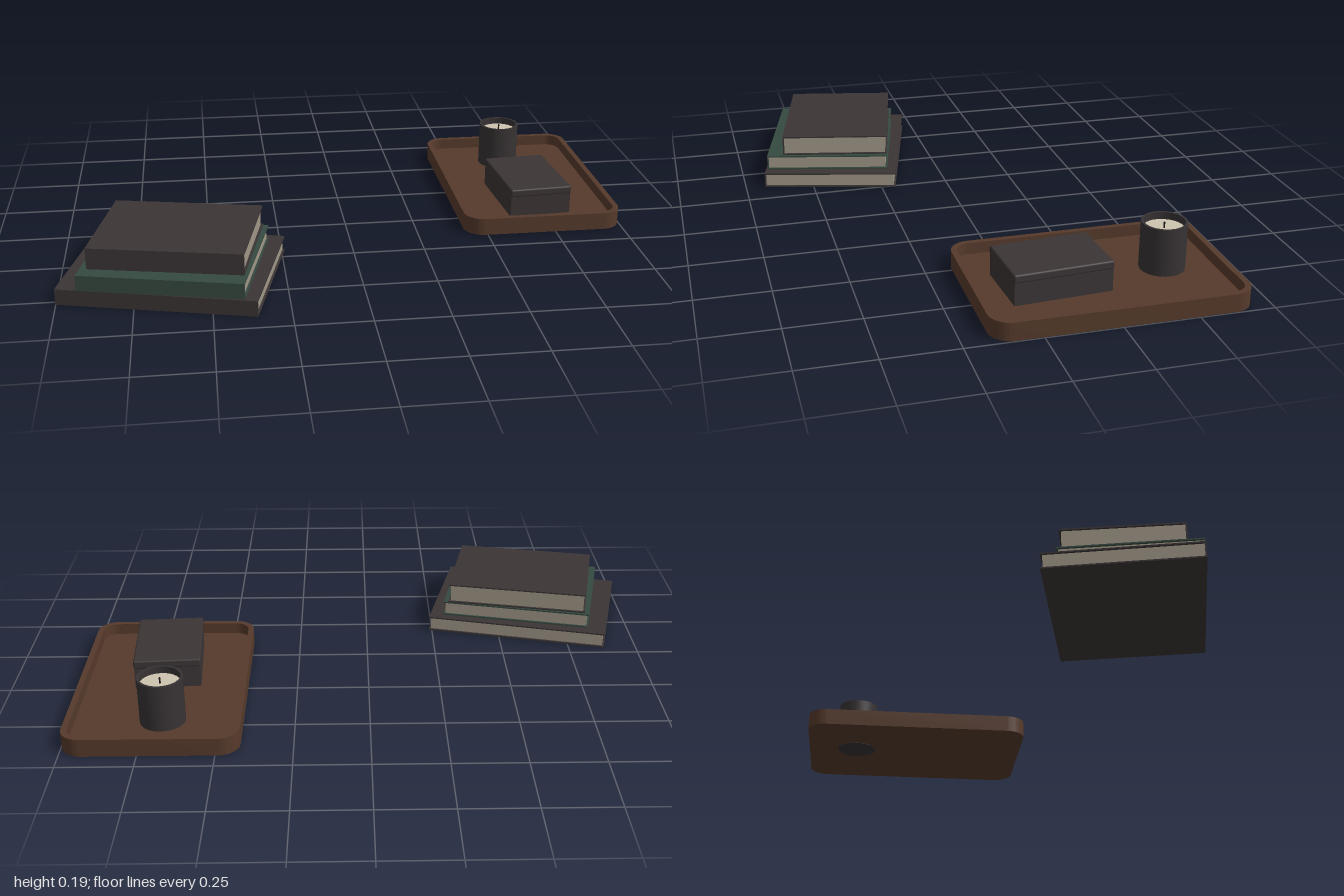
import * as THREE from 'three';
import { toCreasedNormals } from 'three/addons/utils/BufferGeometryUtils.js';
import { RoundedBoxGeometry } from 'three/addons/geometries/RoundedBoxGeometry.js';

const flat = (name, color, side = THREE.FrontSide) => {
  const m = new THREE.MeshStandardMaterial({ color, side });
  m.name = name;
  return m;
};

function addMesh(parent, name, geometry, material, x = 0, y = 0, z = 0) {
  const mesh = new THREE.Mesh(geometry, material);
  mesh.name = name;
  mesh.position.set(x, y, z);
  parent.add(mesh);
  return mesh;
}

function addGroup(parent, name, x, y, z, turn = 0) {
  const g = new THREE.Group();
  g.name = name;
  g.position.set(x, y, z);
  g.rotation.y = turn;
  parent.add(g);
  return g;
}

// Rounded rectangle centred on the origin
function roundedRect(Type, w, d, r) {
  const p = new Type(), x = w / 2, y = d / 2;
  p.moveTo(-x + r, -y);
  p.lineTo(x - r, -y).absarc(x - r, -y + r, r, -Math.PI / 2, 0);
  p.lineTo(x, y - r).absarc(x - r, y - r, r, 0, Math.PI / 2);
  p.lineTo(-x + r, y).absarc(-x + r, y - r, r, Math.PI / 2, Math.PI);
  p.lineTo(-x, -y + r).absarc(-x + r, -y + r, r, Math.PI, Math.PI * 1.5);
  return p;
}

// Extrude a plan shape upwards
function slab(shape, height) {
  const g = new THREE.ExtrudeGeometry(shape, { depth: height, bevelEnabled: false, curveSegments: 8 });
  g.rotateX(-Math.PI / 2);
  return toCreasedNormals(g, 0.6);
}

export function createModel() {
  const model = new THREE.Group();
  model.name = 'booksAndTray';

  const charcoal = flat('charcoal', 0x3b3435);
  const green = flat('dark green', 0x364a40);
  const paper = flat('paper', 0xa19888);
  const wood = flat('walnut', 0x563a2b);
  const wax = flat('wax', 0xcdc4b0);
  const black = flat('wick black', 0x1c1a19);
  const vessel = flat('vessel charcoal', 0x383334, THREE.DoubleSide);

  // Books: two boards, a spine at the front and a page block
  const stack = addGroup(model, 'bookStack', 0, 0, 0);
  const books = [
    { name: 'bottomBook', w: 0.662, d: 0.496, h: 0.055, x: -0.62, y: 0, z: 0.358, turn: -0.246, cover: charcoal },
    { name: 'middleBook', w: 0.547, d: 0.456, h: 0.054, x: -0.613, y: 0.055, z: 0.378, turn: -0.23, cover: green },
    { name: 'topBook', w: 0.513, d: 0.395, h: 0.073, x: -0.605, y: 0.109, z: 0.354, turn: -0.21, cover: charcoal },
  ];
  const t = 0.005, inset = 0.007;
  for (const b of books) {
    const g = addGroup(stack, b.name, b.x, b.y, b.z, b.turn);
    const board = new THREE.BoxGeometry(b.w, t, b.d);
    addMesh(g, 'backCover', board, b.cover, 0, t / 2, 0);
    addMesh(g, 'frontCover', board, b.cover, 0, b.h - t / 2, 0);
    addMesh(g, 'spine', new THREE.BoxGeometry(b.w, b.h - 2 * t, t), b.cover, 0, b.h / 2, b.d / 2 - t / 2);
    addMesh(g, 'pages', new THREE.BoxGeometry(b.w - 2 * inset, b.h - 2 * t, b.d - inset - t),
      paper, 0, b.h / 2, (inset - t) / 2);
  }

  // Tray: floor and raised rim
  const tray = addGroup(model, 'tray', 0.71, 0.001, -0.265);
  const W = 0.576, D = 0.85, R = 0.07, rim = 0.02, floorY = 0.022;
  addMesh(tray, 'floor', slab(roundedRect(THREE.Shape, W - 0.01, D - 0.01, R - 0.005), floorY), wood);
  const rimShape = roundedRect(THREE.Shape, W, D, R);
  rimShape.holes.push(roundedRect(THREE.Path, W - 2 * rim, D - 2 * rim, R - rim));
  addMesh(tray, 'rim', slab(rimShape, 0.062), wood);

  // Lidded box
  const box = addGroup(model, 'box', 0.707, floorY, -0.112, 0.068);
  addMesh(box, 'boxBody', new THREE.BoxGeometry(0.226, 0.078, 0.33), charcoal, 0, 0.039, 0);
  addMesh(box, 'boxLid', new RoundedBoxGeometry(0.23, 0.029, 0.335, 2, 0.006), charcoal, 0, 0.0915, 0);

  // Candle: open vessel, wax fill and wick
  const candle = addGroup(model, 'candle', 0.687, 0, -0.5);
  const profile = [[0, 0], [0.076, 0], [0.076, 0.187], [0.068, 0.187], [0.068, 0.15]]
    .map(([x, y]) => new THREE.Vector2(x, y));
  addMesh(candle, 'vessel', toCreasedNormals(new THREE.LatheGeometry(profile, 32), 0.6), vessel);
  addMesh(candle, 'wax', new THREE.CylinderGeometry(0.068, 0.068, 0.02, 32), wax, 0, 0.152, 0);
  addMesh(candle, 'wick', new THREE.CylinderGeometry(0.003, 0.003, 0.02, 8), black, 0, 0.172, 0);

  return model;
}
